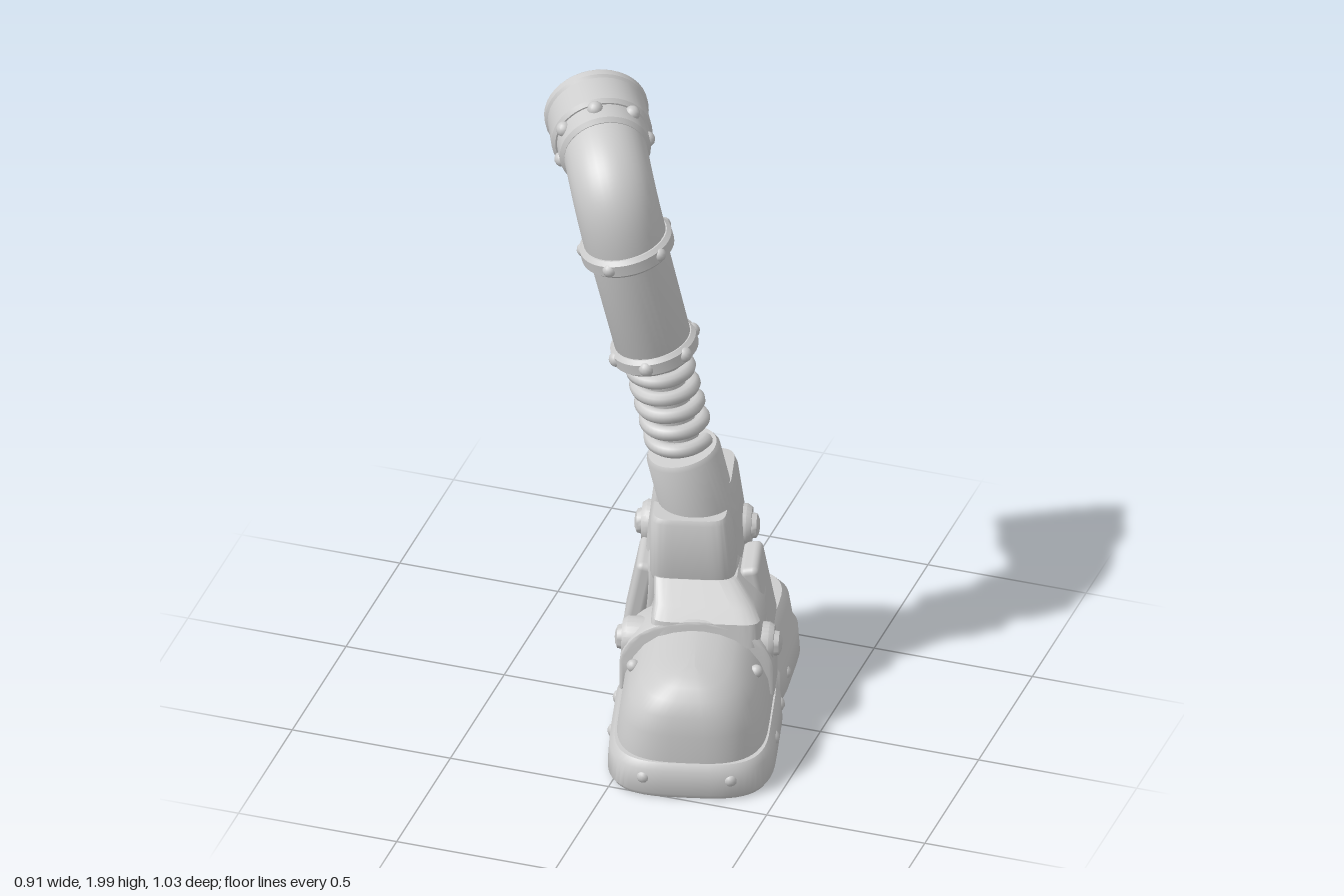
import * as THREE from 'three';
import { toCreasedNormals } from 'three/addons/utils/BufferGeometryUtils.js';
import { RoundedBoxGeometry } from 'three/addons/geometries/RoundedBoxGeometry.js';

const V = (x, y, z) => new THREE.Vector3(x, y, z);
const UP = V(0, 1, 0);

// Shaft centre line: leans to the right and slightly forward as it rises
const shaftDir = V(-0.2, 1, 0.115).normalize();
const shaftAt = (y) => V(0.045 - 0.2 * (y - 0.77), y, -0.11 + 0.115 * (y - 0.77));

// Coil wound round a vertical axis
class Helix extends THREE.Curve {
  constructor(radius, height, turns) {
    super();
    Object.assign(this, { radius, height, turns });
  }
  getPoint(t, target = new THREE.Vector3()) {
    const a = t * this.turns * Math.PI * 2;
    return target.set(Math.cos(a) * this.radius, t * this.height, Math.sin(a) * this.radius);
  }
}

// Stack of rounded outlines [y, centreX, halfWidth, zBack, zFront]; higher exponents are squarer
function loft(rows, nFront, nBack, creaseAngle = 0.7, steps = 56) {
  const pos = [], index = [];
  for (const [y, cx, hx, zb, zf] of rows) {
    const mid = (zb + zf) / 2, half = (zf - zb) / 2;
    for (let j = 0; j < steps; j++) {
      const a = (j / steps) * Math.PI * 2, c = Math.cos(a), s = Math.sin(a);
      const e = 2 / (s >= 0 ? nFront : nBack);
      pos.push(cx + hx * Math.sign(c) * Math.abs(c) ** e, y, mid + half * Math.sign(s) * Math.abs(s) ** e);
    }
  }
  for (let i = 0; i < rows.length - 1; i++) {
    for (let j = 0; j < steps; j++) {
      const a = i * steps + j, b = i * steps + ((j + 1) % steps);
      index.push(a, a + steps, b, b, a + steps, b + steps);
    }
  }
  // End caps
  [0, rows.length - 1].forEach((r, top) => {
    const [y, cx, , zb, zf] = rows[r];
    const centre = pos.length / 3;
    pos.push(cx, y, (zb + zf) / 2);
    for (let j = 0; j < steps; j++) {
      const a = r * steps + j, b = r * steps + ((j + 1) % steps);
      index.push(centre, top ? b : a, top ? a : b);
    }
  });
  const g = new THREE.BufferGeometry();
  g.setAttribute('position', new THREE.Float32BufferAttribute(pos, 3));
  g.setIndex(index);
  return toCreasedNormals(g, creaseAngle);
}

export function createModel() {
  const model = new THREE.Group();
  model.name = 'mechanicalLeg';
  const metal = new THREE.MeshStandardMaterial({ color: 0xcccccc });
  metal.name = 'light grey metal';

  function add(parent, name, geometry, p = V(0, 0, 0), dir = null) {
    const mesh = new THREE.Mesh(geometry, metal);
    mesh.name = name;
    mesh.position.copy(p);
    if (dir) mesh.quaternion.setFromUnitVectors(UP, dir);
    parent.add(mesh);
    return mesh;
  }
  const lathe = (points, sides = 40) =>
    toCreasedNormals(new THREE.LatheGeometry(points.map(([r, y]) => new THREE.Vector2(r, y)), sides), 0.6);
  const ring = (r, h, inner) =>
    lathe([[inner, 0], [r - 0.012, 0], [r, 0.012], [r, h - 0.012], [r - 0.012, h], [inner, h]]);
  const rivet = (parent, p, r = 0.02) => add(parent, 'rivet', new THREE.SphereGeometry(r, 14, 10), p);
  const boltShape = (r) => lathe([[r, -0.04], [r, 0.015], [r * 0.85, 0.03], [r * 0.6, 0.03],
    [r * 0.55, 0.045], [r * 0.3, 0.052], [0, 0.054]], 24);

  // ---- Foot, turned outward ----
  const foot = new THREE.Group();
  foot.name = 'foot';
  foot.position.set(0.12, 0, 0);
  foot.rotation.y = 0.245;
  model.add(foot);

  add(foot, 'toeSole', loft([[0, 0, 0.243, -0.01, 0.5], [0.015, 0, 0.252, -0.01, 0.508],
    [0.09, 0, 0.247, -0.01, 0.502], [0.11, 0, 0.232, -0.005, 0.487]], 3.4, 12));
  add(foot, 'toeCap', loft([[0.1, 0, 0.228, -0.02, 0.482], [0.2, 0, 0.215, -0.02, 0.48],
    [0.26, 0, 0.19, -0.02, 0.47], [0.305, 0, 0.157, -0.02, 0.45], [0.335, 0, 0.117, -0.02, 0.42],
    [0.352, 0, 0.07, -0.02, 0.385], [0.36, 0, 0.02, -0.02, 0.34]], 3, 10, 0.9));
  add(foot, 'midfoot', loft([[0.015, 0, 0.17, -0.18, 0.05], [0.25, 0, 0.18, -0.18, 0.05],
    [0.4, 0, 0.13, -0.18, 0.05]], 8, 8));
  add(foot, 'solePlate', loft([[0.004, 0.095, 0.125, -0.1, 0.02], [0.1, 0.095, 0.125, -0.1, 0.02]], 12, 12));

  // Strap arching over the instep
  const arch = new THREE.Shape();
  arch.moveTo(0.222, 0.15);
  arch.lineTo(0.222, 0.24);
  arch.bezierCurveTo(0.2, 0.43, -0.2, 0.43, -0.222, 0.24);
  arch.lineTo(-0.222, 0.15);
  arch.closePath();
  const strap = new THREE.ExtrudeGeometry(arch, { depth: 0.12, bevelSize: 0.01, bevelThickness: 0.012,
    bevelSegments: 2, curveSegments: 24 });
  add(foot, 'instepStrap', toCreasedNormals(strap, 0.6));
  add(foot, 'tongue', loft([[0.31, 0.025, 0.17, -0.15, 0.14], [0.385, 0.025, 0.165, -0.15, 0.13],
    [0.415, 0.015, 0.15, -0.15, 0.085], [0.47, -0.015, 0.125, -0.15, 0.02]], 8, 8));

  // Heel block, turned out a little less than the toe, and tapering rear shell
  const heel = add(foot, 'heelSole', loft([[0, 0.01, 0.238, -0.495, -0.07], [0.015, 0.01, 0.245, -0.505, -0.07],
    [0.1, 0.01, 0.24, -0.498, -0.07], [0.115, 0.01, 0.228, -0.487, -0.075], [0.21, 0.005, 0.22, -0.474, -0.075],
    [0.235, 0.005, 0.2, -0.455, -0.08]], 10, 3), V(-0.015, 0, 0));
  heel.rotation.y = -0.1;
  add(foot, 'heelShell', loft([[0.22, 0, 0.188, -0.448, -0.04], [0.34, -0.015, 0.165, -0.408, -0.03],
    [0.47, -0.03, 0.14, -0.365, -0.02], [0.49, -0.03, 0.13, -0.35, -0.02]], 8, 3.5));
  add(foot, 'ankleRear', loft([[0.42, -0.03, 0.15, -0.365, -0.1], [0.55, -0.03, 0.14, -0.355, -0.1],
    [0.7, -0.03, 0.122, -0.33, -0.09], [0.73, -0.03, 0.112, -0.318, -0.095]], 7, 5));
  add(foot, 'ankleFront', loft([[0.45, -0.025, 0.125, -0.2, 0.012], [0.47, -0.025, 0.13, -0.2, 0.018],
    [0.65, -0.035, 0.118, -0.2, 0.01], [0.665, -0.035, 0.11, -0.2, 0.002]], 5, 8));

  // Raised ribs either side of the heel channel
  for (const x of [-0.09, 0.04]) {
    const rib = add(foot, 'heelRib', new RoundedBoxGeometry(0.05, 0.25, 0.04, 2, 0.015), V(x, 0.34, -0.393));
    rib.rotation.x = 0.33;
  }

  // Mirrored side details
  for (const s of [1, -1]) {
    const side = V(s, 0, 0);
    add(foot, 'strapBolt', boltShape(0.064), V(s * 0.198, 0.285, 0.06), side);
    const plate = add(foot, 'sidePlate', new RoundedBoxGeometry(0.06, 0.25, 0.18, 3, 0.02),
      V(s * 0.176 - 0.012, 0.355, -0.125));
    plate.rotation.z = s * 0.19;
    const bar = add(foot, 'sideBar', new RoundedBoxGeometry(0.035, 0.15, 0.05, 2, 0.012),
      V(s * 0.165 - 0.01, 0.33, -0.25));
    bar.rotation.z = s * 0.2;
    add(foot, 'ankleBolt', boltShape(0.066), V(-0.03 + s * 0.135, 0.5, -0.255), side);
    for (const z of [0.05, 0.24]) rivet(foot, V(s * 0.235, 0.065, z), 0.024);
    for (const z of [-0.14, -0.34]) rivet(foot, V(0.01 + s * 0.23, 0.06, z), 0.022);
    rivet(foot, V(s * 0.185, 0.27, 0.2), 0.02);
    rivet(foot, V(s * 0.13, 0.06, 0.482), 0.022);
  }
  add(foot, 'rearBolt', boltShape(0.06), V(-0.025, 0.5, -0.35), V(0, 0, -1));

  // ---- Shaft ----
  add(model, 'lowerSocket', lathe([[0.113, 0], [0.113, 0.225], [0.105, 0.24], [0.07, 0.24], [0, 0.24]]),
    shaftAt(0.615), shaftDir);
  add(model, 'pistonRod', new THREE.CylinderGeometry(0.058, 0.058, 0.44, 28), shaftAt(1.03), shaftDir);
  add(model, 'spring', new THREE.TubeGeometry(new Helix(0.083, 0.32, 5), 200, 0.023, 10),
    shaftAt(0.88), shaftDir);
  add(model, 'upperTube', lathe([[0, 0], [0.108, 0], [0.116, 0.02], [0.119, 0.4]]), shaftAt(1.19), shaftDir);
  add(model, 'lowerRing', ring(0.132, 0.06, 0.05), shaftAt(1.19), shaftDir);
  add(model, 'upperRing', ring(0.142, 0.06, 0.1), shaftAt(1.555), shaftDir);

  // ---- Elbow and open end ----
  const corner = V(-0.155, 1.785, 0);
  const endDir = V(-0.45, 0.15, -0.88).normalize();
  const endAt = (d) => corner.clone().addScaledVector(endDir, d);
  const bend = new THREE.CubicBezierCurve3(shaftAt(1.56), shaftAt(1.745), endAt(0.035), endAt(0.22));
  add(model, 'elbow', new THREE.TubeGeometry(bend, 40, 0.126, 36));
  add(model, 'neckRing', ring(0.138, 0.085, 0.08), endAt(0.155), endDir);
  add(model, 'openCup', lathe([[0.1, 0], [0.143, 0], [0.153, 0.012], [0.15, 0.11], [0.157, 0.118], [0.157, 0.138],
    [0.152, 0.145], [0.136, 0.145], [0.122, 0.03], [0.07, 0.01], [0, 0.01]]), endAt(0.225), endDir);
  add(model, 'hexPlug', toCreasedNormals(new THREE.CylinderGeometry(0.06, 0.066, 0.05, 6), 0.4),
    endAt(0.25), endDir);

  // Rivets spaced round a ring
  function ringRivets(centre, dir, radius, count, size) {
    const q = new THREE.Quaternion().setFromUnitVectors(UP, dir);
    for (let i = 0; i < count; i++) {
      const a = (i / count) * Math.PI * 2 + 0.4;
      rivet(model, V(Math.cos(a) * radius, 0, Math.sin(a) * radius).applyQuaternion(q).add(centre), size);
    }
  }
  ringRivets(shaftAt(1.22), shaftDir, 0.122, 6, 0.024);
  ringRivets(shaftAt(1.585), shaftDir, 0.132, 5, 0.022);
  ringRivets(endAt(0.215), endDir, 0.134, 7, 0.024);

  return model;
}
